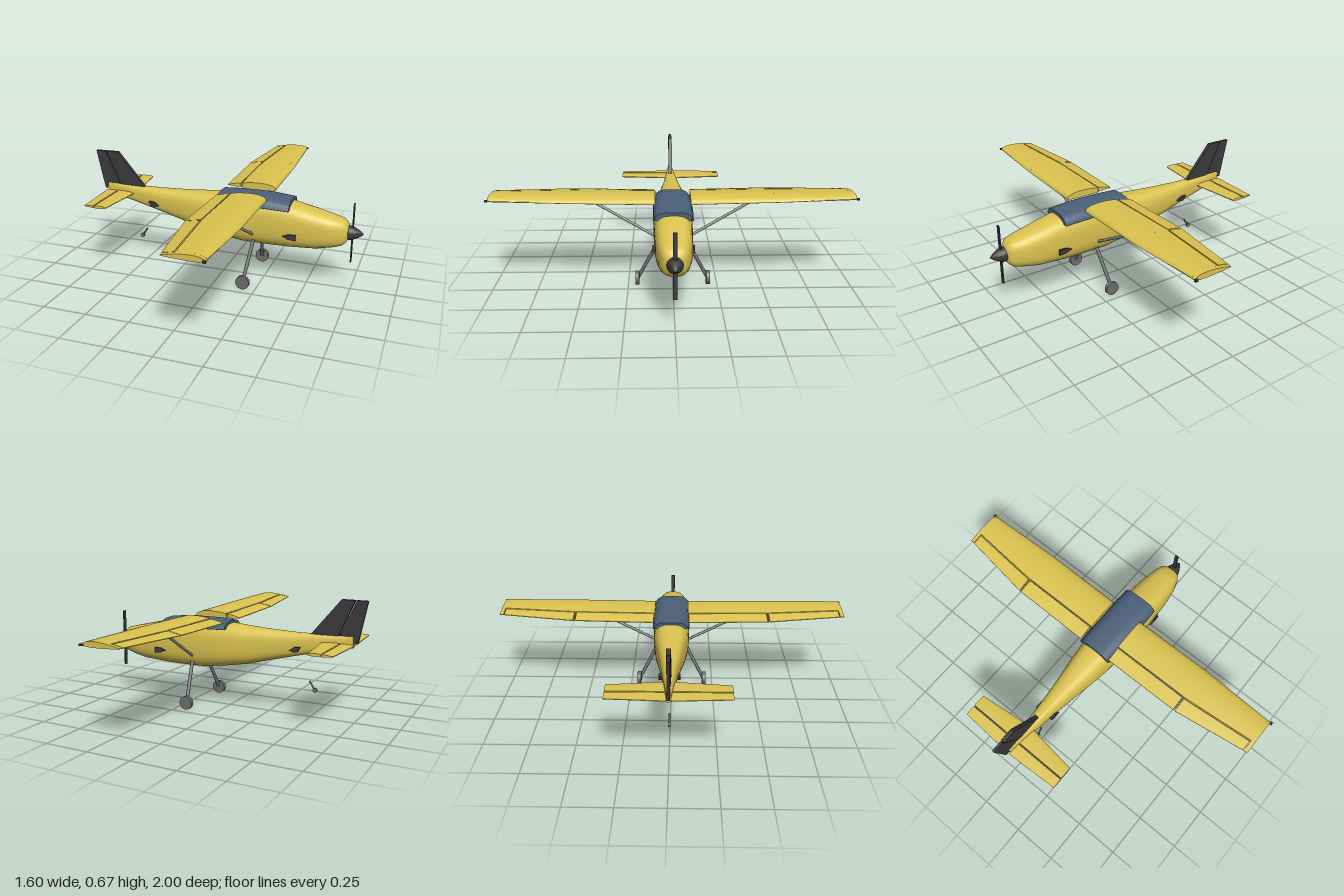
import * as THREE from 'three';
import { toCreasedNormals } from 'three/addons/utils/BufferGeometryUtils.js';

const paint = (name, color) => {
  const m = new THREE.MeshStandardMaterial({ color });
  m.name = name;
  return m;
};

// Closed skin through rings of [x, y, z] points, capped at both ends and wound outwards.
function loft(rings, crease = 0.6) {
  const n = rings[0].length, pos = rings.flat(2), tri = [];
  for (let r = 0; r < rings.length - 1; r++) {
    for (let i = 0; i < n; i++) {
      const a = r * n + i, b = r * n + (i + 1) % n;
      tri.push([a, b, a + n], [b, b + n, a + n]);
    }
  }
  [0, rings.length - 1].forEach((r, end) => {
    const c = pos.length / 3;
    for (let k = 0; k < 3; k++) pos.push(rings[r].reduce((s, p) => s + p[k], 0) / n);
    for (let i = 0; i < n; i++) {
      const a = r * n + i, b = r * n + (i + 1) % n;
      tri.push(end ? [a, b, c] : [b, a, c]);
    }
  });
  const at = i => new THREE.Vector3(pos[3 * i], pos[3 * i + 1], pos[3 * i + 2]);
  const origin = at(pos.length / 3 - 1);
  const volume = tri.reduce((s, [a, b, c]) =>
    s + at(a).sub(origin).dot(at(b).sub(origin).cross(at(c).sub(origin))), 0);
  if (volume < 0) tri.forEach(t => t.reverse());
  const g = new THREE.BufferGeometry();
  g.setAttribute('position', new THREE.Float32BufferAttribute(pos, 3));
  g.setIndex(tri.flat());
  return toCreasedNormals(g, crease);
}

// Rounded-box cross-section at x.
function bodyRing(x, bottom, top, halfWidth, power = 3, n = 40) {
  const soft = v => Math.sign(v) * Math.abs(v) ** (2 / power);
  return Array.from({ length: n }, (_, i) => {
    const t = i / n * Math.PI * 2;
    return [x, (top + bottom) / 2 + soft(Math.sin(t)) * (top - bottom) / 2, soft(Math.cos(t)) * halfWidth];
  });
}

// Slice of an aerofoil between xFront and xBack; s gives the full section at this z.
function foilRing(s, z, xFront, xBack, n = 9) {
  const height = x => {
    const u = THREE.MathUtils.clamp((s.lead - x) / (s.lead - s.trail), 0, 1);
    return 2.6 * Math.sqrt(u) * (1 - u);
  };
  const upper = [], lower = [];
  for (let i = 0; i <= n; i++) {
    const x = xFront + (xBack - xFront) * (i / n) ** 1.5;
    upper.push([x, s.y + 0.002 + s.up * height(x), z]);
    lower.unshift([x, s.y - 0.002 - s.down * height(x), z]);
  }
  return [...upper, ...lower];
}

const lerp = THREE.MathUtils.lerp;

// Wing section: straight inboard, tapered outboard, with a slight rise to the tip.
function wingAt(z) {
  const t = Math.max(0, (z - 0.56) / 0.425), rise = (z - 0.1) / 0.885;
  return {
    lead: lerp(0.28, 0.262, t), trail: lerp(-0.01, 0.05, t), hinge: lerp(0.075, 0.11, t),
    y: lerp(0.5, 0.517, rise), up: lerp(0.029, 0.019, rise), down: 0.007,
  };
}

function tailAt(z) {
  const t = z / 0.31;
  return {
    lead: lerp(-0.555, -0.59, t), trail: lerp(-0.742, -0.725, t), hinge: -0.665,
    y: 0.425, up: 0.006, down: 0.006,
  };
}

// One panel of a lifting surface: 'front' of the hinge, 'rear' of it, or the 'full' chord.
function panel(section, part, zs, side) {
  return loft(zs.map(z => {
    const s = section(z), gap = 0.004;
    return foilRing(s, z * side,
      part === 'rear' ? s.hinge - gap : s.lead,
      part === 'front' ? s.hinge + gap : s.trail);
  }));
}

function rod(a, b, radius) {
  const from = new THREE.Vector3(...a), to = new THREE.Vector3(...b);
  const g = new THREE.CylinderGeometry(radius, radius, from.distanceTo(to), 12);
  g.applyQuaternion(new THREE.Quaternion().setFromUnitVectors(
    new THREE.Vector3(0, 1, 0), to.clone().sub(from).normalize()));
  return g.translate(...from.add(to).multiplyScalar(0.5).toArray());
}

// Flat plate in the side plane, centred on z.
function plate(points, depth, z = 0) {
  const shape = new THREE.Shape(points.map(p => new THREE.Vector2(...p)));
  return new THREE.ExtrudeGeometry(shape, { depth, bevelEnabled: false }).translate(0, 0, z - depth / 2);
}

export function createModel() {
  const yellow = paint('yellow paint', 0xdcc450);
  const blue = paint('blue canopy', 0x4a6079);
  const black = paint('black', 0x3b3a3d);
  const grey = paint('wheel grey', 0x6e6c70);
  const silver = paint('strut grey', 0x8c8c8e);

  const model = new THREE.Group();
  model.name = 'aeroplane';
  const add = (name, geometry, material) => {
    const mesh = new THREE.Mesh(geometry, material);
    mesh.name = name;
    model.add(mesh);
    return mesh;
  };

  // Fuselage: x, bottom, top, half width
  const stations = [
    [-0.73, 0.41, 0.474, 0.012], [-0.56, 0.373, 0.469, 0.03], [-0.4, 0.335, 0.468, 0.047],
    [-0.25, 0.297, 0.472, 0.066], [-0.12, 0.263, 0.479, 0.085], [0, 0.242, 0.489, 0.099],
    [0.13, 0.222, 0.494, 0.104], [0.27, 0.22, 0.492, 0.105], [0.4, 0.222, 0.477, 0.102],
    [0.55, 0.231, 0.443, 0.094], [0.64, 0.249, 0.422, 0.081], [0.69, 0.262, 0.41, 0.066],
    [0.71, 0.28, 0.392, 0.053], [0.722, 0.3, 0.372, 0.036],
  ];
  add('fuselage', loft(stations.map(s => bodyRing(...s)), 0.7), yellow);

  // Canopy: saddle over the top of the cabin, cut off level at its lower edge
  const canopyRing = (x, sill, top, halfWidth) =>
    bodyRing(x, 0.3, top, halfWidth, 3.6, 48).map(([px, y, z]) => [px, Math.max(y, sill), z]);
  add('canopy', loft([
    canopyRing(-0.012, 0.462, 0.501, 0.104), canopyRing(0.1, 0.459, 0.507, 0.107),
    canopyRing(0.27, 0.455, 0.507, 0.108), canopyRing(0.404, 0.45, 0.494, 0.105),
  ]), blue);

  for (const side of [1, -1]) {
    const label = side > 0 ? 'near' : 'far';

    // Wing with separate flap and aileron
    add(`${label} wing`, panel(wingAt, 'front', [0.095, 0.56, 0.965], side), yellow);
    add(`${label} flap`, panel(wingAt, 'rear', [0.1, 0.545], side), yellow);
    add(`${label} wing rib`, panel(wingAt, 'full', [0.548, 0.553], side), yellow);
    add(`${label} aileron`, panel(wingAt, 'rear', [0.557, 0.96], side), yellow);
    add(`${label} wing tip`, panel(wingAt, 'full', [0.964, 0.986], side), yellow);
    add(`${label} flap hinge`, rod([0.075, 0.515, 0.1 * side], [0.075, 0.522, 0.545 * side], 0.003), silver);
    add(`${label} tip light`, new THREE.BoxGeometry(0.016, 0.01, 0.014)
      .translate(0.26, 0.518, 0.992 * side), black);
    add(`${label} wing strut`, rod([0.2, 0.295, 0.095 * side], [0.167, 0.5, 0.46 * side], 0.008), silver);

    // Tailplane with elevator
    add(`${label} stabilizer`, panel(tailAt, 'front', [0.005, 0.314], side), yellow);
    add(`${label} elevator`, panel(tailAt, 'rear', [0.012, 0.314], side), yellow);
    add(`${label} elevator hinge`, rod([-0.665, 0.425, 0], [-0.665, 0.425, 0.31 * side], 0.003), silver);

    // Main landing gear
    add(`${label} gear leg`, rod([0.205, 0.255, 0.085 * side], [0.18, 0.04, 0.195 * side], 0.01), grey);
    add(`${label} wheel`, new THREE.CylinderGeometry(0.039, 0.039, 0.022, 28)
      .rotateX(Math.PI / 2).translate(0.18, 0.039, 0.199 * side), grey);

    // Side scoops
    add(`${label} front scoop`, plate(
      [[0.375, 0.307], [0.41, 0.292], [0.45, 0.289], [0.45, 0.321], [0.41, 0.321]], 0.02, 0.1 * side), black);
    add(`${label} rear scoop`, plate(
      [[-0.385, 0.375], [-0.41, 0.367], [-0.435, 0.369], [-0.45, 0.396], [-0.415, 0.394]], 0.02, 0.047 * side), black);
  }

  // Fin and rudder with a gap between them
  add('fin', plate([[-0.734, 0.665], [-0.66, 0.665], [-0.495, 0.468], [-0.52, 0.445], [-0.637, 0.445]], 0.022), black);
  add('rudder', plate([[-0.802, 0.665], [-0.741, 0.665], [-0.644, 0.45], [-0.69, 0.438], [-0.755, 0.436]], 0.016), black);

  // Tail wheel on its short stalk
  add('tail wheel stalk', rod([-0.522, 0.155, 0], [-0.49, 0.203, 0], 0.005), grey);
  add('tail wheel', new THREE.CylinderGeometry(0.013, 0.013, 0.012, 18)
    .rotateX(Math.PI / 2).translate(-0.524, 0.154, 0), grey);

  // Propeller and spinner
  const spinner = [[0, 0], [0.04, 0], [0.04, 0.015], [0.032, 0.035], [0.018, 0.062], [0.004, 0.08], [0, 0.081]]
    .map(p => new THREE.Vector2(...p));
  add('spinner', toCreasedNormals(new THREE.LatheGeometry(spinner, 28), 0.7)
    .rotateZ(-Math.PI / 2).translate(0.72, 0.335, 0), black);
  for (const up of [1, -1]) {
    add('propeller blade', new THREE.BoxGeometry(0.007, 0.17, 0.022)
      .translate(0.742, 0.335 + 0.085 * up, 0), black);
  }
  return model;
}
